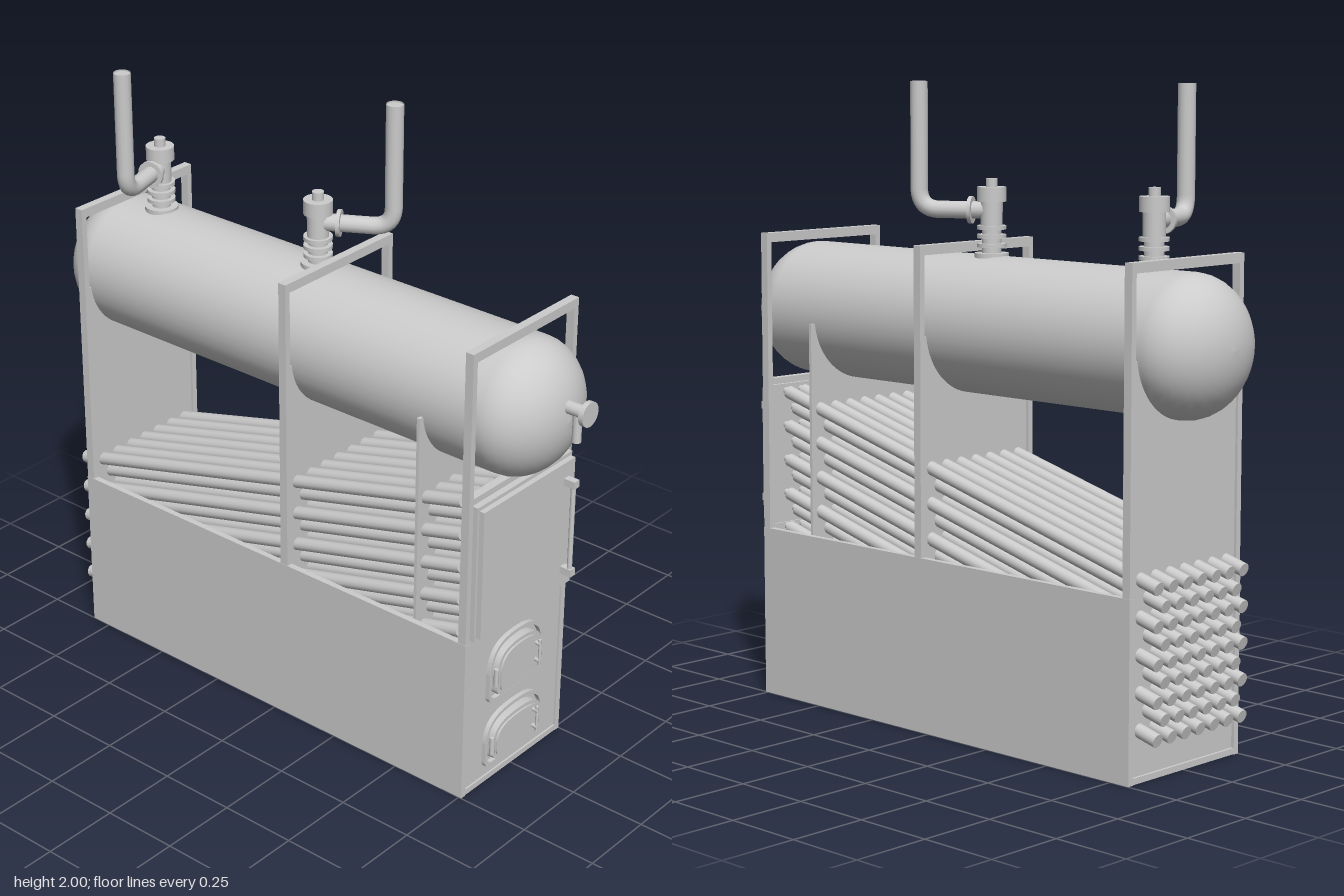
import * as THREE from 'three';

const mat = new THREE.MeshStandardMaterial({ color: 0xcccccc, side: THREE.DoubleSide });
const DRUM_Y = 1.255, DRUM_R = 0.215, HALF = 0.25;

function add(parent, name, geo, x = 0, y = 0, z = 0) {
  const m = new THREE.Mesh(geo, mat);
  m.name = name;
  m.position.set(x, y, z);
  parent.add(m);
  return m;
}
const box = (w, h, d) => new THREE.BoxGeometry(w, h, d);
const cyl = (r, h, seg = 20) => new THREE.CylinderGeometry(r, r, h, seg);
const cylX = (r, h, seg = 20) => cyl(r, h, seg).rotateZ(-Math.PI / 2);

// Extrudes a (z, y) outline along +x
const slab = (shape, depth) =>
  new THREE.ExtrudeGeometry(shape, { depth, bevelEnabled: false, curveSegments: 16 }).rotateY(Math.PI / 2);

function rect(hw, y0, y1, C = THREE.Shape) {
  const s = new C();
  s.moveTo(-hw, y0); s.lineTo(hw, y0); s.lineTo(hw, y1); s.lineTo(-hw, y1); s.closePath();
  return s;
}

// Outline with straight base and arched top
function arched(hw, y0, y1, C = THREE.Shape) {
  const s = new C(), h = y1 - y0, r = 0.025;
  s.moveTo(-hw + r, y0);
  s.lineTo(hw - r, y0);
  s.quadraticCurveTo(hw, y0, hw, y0 + r);
  s.lineTo(hw, y0 + h * 0.5);
  s.bezierCurveTo(hw * 0.95, y1 - h * 0.1, hw * 0.6, y1, 0, y1);
  s.bezierCurveTo(-hw * 0.6, y1, -hw * 0.95, y1 - h * 0.1, -hw, y0 + h * 0.5);
  s.lineTo(-hw, y0 + r);
  s.quadraticCurveTo(-hw, y0, -hw + r, y0);
  return s;
}

// Support plate cut to cradle the drum
function cradle() {
  const s = new THREE.Shape(), top = 1.23, a = Math.asin((top - DRUM_Y) / DRUM_R);
  s.moveTo(-0.23, 0.01);
  s.lineTo(0.23, 0.01);
  s.lineTo(0.23, top);
  s.lineTo(DRUM_R * Math.cos(a), top);
  s.absarc(0, DRUM_Y, DRUM_R, a, -Math.PI - a, true);
  s.lineTo(-0.23, top);
  s.closePath();
  return s;
}

function makeCasing() {
  const g = new THREE.Group();
  g.name = 'casing';
  for (const s of [-1, 1]) add(g, 'sideWall', box(1.58, 0.55, 0.02), -0.03, 0.275, s * 0.24);
  add(g, 'floor', box(1.56, 0.02, 0.48), -0.03, 0.011, 0);
  // Tall rectangular frames
  for (const x of [-0.819, 0.03, 0.731]) {
    const f = rect(HALF - 0.001, 0.001, 1.51);
    f.holes.push(rect(0.23, 0.02, 1.48, THREE.Path));
    add(g, 'frame', slab(f, 0.028), x);
  }
  // Plates carrying drum and tubes
  for (const x of [-0.81, 0.04, 0.545]) add(g, 'cradlePlate', slab(cradle(), 0.01), x);
  add(g, 'frontPanel', slab(rect(0.23, 0.01, 0.56), 0.015), 0.738);
  add(g, 'frontRail', box(0.028, 0.02, 0.46), 0.745, 1.03, 0);
  return g;
}

function makeDrum() {
  const pts = [], n = 10, cap = 0.17;
  for (let i = 0; i <= n; i++) {
    const t = (i / n) * Math.PI / 2;
    pts.push(new THREE.Vector2(DRUM_R * Math.sin(t), -0.82 - cap * Math.cos(t)));
  }
  for (let i = n; i >= 0; i--) {
    const t = (i / n) * Math.PI / 2;
    pts.push(new THREE.Vector2(DRUM_R * Math.sin(t), 0.75 + cap * Math.cos(t)));
  }
  return new THREE.LatheGeometry(pts, 40).rotateZ(-Math.PI / 2);
}

// Inclined tube bundle in staggered rows
function makeTubes() {
  const g = new THREE.Group();
  g.name = 'tubeBundle';
  const x0 = -0.88, x1 = 0.695, rise = 0.415, rows = 9;
  const angle = Math.atan2(rise, x1 - x0), len = Math.hypot(rise, x1 - x0);
  const tube = cylX(0.021, len, 12), tip = cylX(0.011, 0.02, 8);
  for (let r = 0; r < rows; r++) {
    const count = r % 2 ? 6 : 7, y = 0.58 - r * 0.0555;
    for (let c = 0; c < count; c++) {
      const z = (c - (count - 1) / 2) * 0.064;
      add(g, 'tube', tube, (x0 + x1) / 2, y + rise / 2, z).rotation.z = angle;
      add(g, 'tubePlug', tip, x1 + 0.008, y + rise + 0.002, z).rotation.z = angle;
    }
  }
  return g;
}

// Safety valve with a discharge pipe pointing along +x before turning
function makeValve(x, heading) {
  const g = new THREE.Group();
  g.name = 'safetyValve';
  g.position.x = x;
  g.rotation.y = heading;
  const profile = [
    [0, 1.44], [0.053, 1.44], [0.053, 1.478], [0.03, 1.478], [0.03, 1.495], [0.045, 1.495], [0.045, 1.507],
    [0.03, 1.507], [0.03, 1.523], [0.045, 1.523], [0.045, 1.535], [0.03, 1.535], [0.03, 1.55],
    [0.045, 1.55], [0.045, 1.562], [0.034, 1.562], [0.034, 1.635], [0.045, 1.635], [0.045, 1.68],
    [0.018, 1.68], [0.018, 1.706], [0, 1.706]];
  // Doubled points keep the steps crisp
  for (let i = 0; i < profile.length - 1; i++) {
    const seg = [profile[i], profile[i + 1]].map(p => new THREE.Vector2(...p));
    add(g, 'valveBody', new THREE.LatheGeometry(seg, 20));
  }
  const y = 1.608, reach = 0.23, b = 0.065;
  const path = new THREE.CurvePath();
  const v = (px, py) => new THREE.Vector3(px, py, 0);
  path.add(new THREE.LineCurve3(v(0.02, y), v(reach - b, y)));
  path.add(new THREE.QuadraticBezierCurve3(v(reach - b, y), v(reach, y), v(reach, y + b)));
  path.add(new THREE.LineCurve3(v(reach, y + b), v(reach, 2)));
  add(g, 'dischargePipe', new THREE.TubeGeometry(path, 60, 0.027, 14));
  add(g, 'pipeEnd', new THREE.CircleGeometry(0.027, 14).rotateX(-Math.PI / 2), reach, 1.995);
  add(g, 'pipeFlange', cylX(0.042, 0.012), 0.065, y);
  return g;
}

// Arched firebox door with surround, hinge and latch
function makeFireDoor(hw, y0, y1) {
  const g = new THREE.Group();
  g.name = 'fireDoor';
  const rim = arched(hw + 0.022, y0 - 0.025, y1 + 0.027);
  rim.holes.push(arched(hw + 0.012, y0 - 0.014, y1 + 0.015, THREE.Path));
  add(g, 'doorSurround', slab(rim, 0.018), 0.75);
  add(g, 'doorLeaf', slab(arched(hw, y0, y1), 0.03), 0.75);
  add(g, 'doorFace', slab(arched(hw - 0.012, y0 + 0.012, y1 - 0.012), 0.006), 0.78);
  const m = (y0 + y1) / 2;
  add(g, 'latchBar', cyl(0.005, 0.09, 8), 0.802, m, -0.07);
  for (const s of [-1, 1]) add(g, 'latchPost', cylX(0.007, 0.03, 8), 0.79, m + s * 0.03, -0.07);
  add(g, 'hinge', cyl(0.008, 0.06, 8), 0.778, m - 0.01, hw + 0.004);
  return g;
}

// Upper access door with a long handle
function makeAccessDoor() {
  const g = new THREE.Group();
  g.name = 'accessDoor';
  add(g, 'doorPanel', slab(rect(0.23, 0.56, 1.015), 0.03), 0.745);
  add(g, 'doorRaisedFace', slab(rect(0.222, 0.572, 1.003), 0.018), 0.775);
  add(g, 'handleBar', cyl(0.008, 0.3, 12), 0.82, 0.785, -0.18);
  for (const y of [0.635, 0.94]) add(g, 'handleMount', box(0.045, 0.024, 0.024), 0.81, y, -0.18);
  return g;
}

// Drain cock on the drum's end
function makeCock() {
  const g = new THREE.Group();
  g.name = 'drumCock';
  add(g, 'cockStem', cylX(0.02, 0.1), 0.93, 1.302);
  add(g, 'cockWheel', cylX(0.039, 0.016), 0.982, 1.302);
  add(g, 'cockSpout', cyl(0.014, 0.1), 0.946, 1.25);
  return g;
}

export function createModel() {
  const g = new THREE.Group();
  g.name = 'boiler';
  g.add(makeCasing(), makeTubes(), makeAccessDoor(), makeCock());
  add(g, 'drum', makeDrum(), 0, DRUM_Y, 0);
  g.add(makeValve(-0.685, -Math.atan2(0.215, 0.065)), makeValve(-0.03, Math.atan2(0.115, 0.2)));
  g.add(makeFireDoor(0.112, 0.31, 0.47), makeFireDoor(0.122, 0.08, 0.212));
  return g;
}
